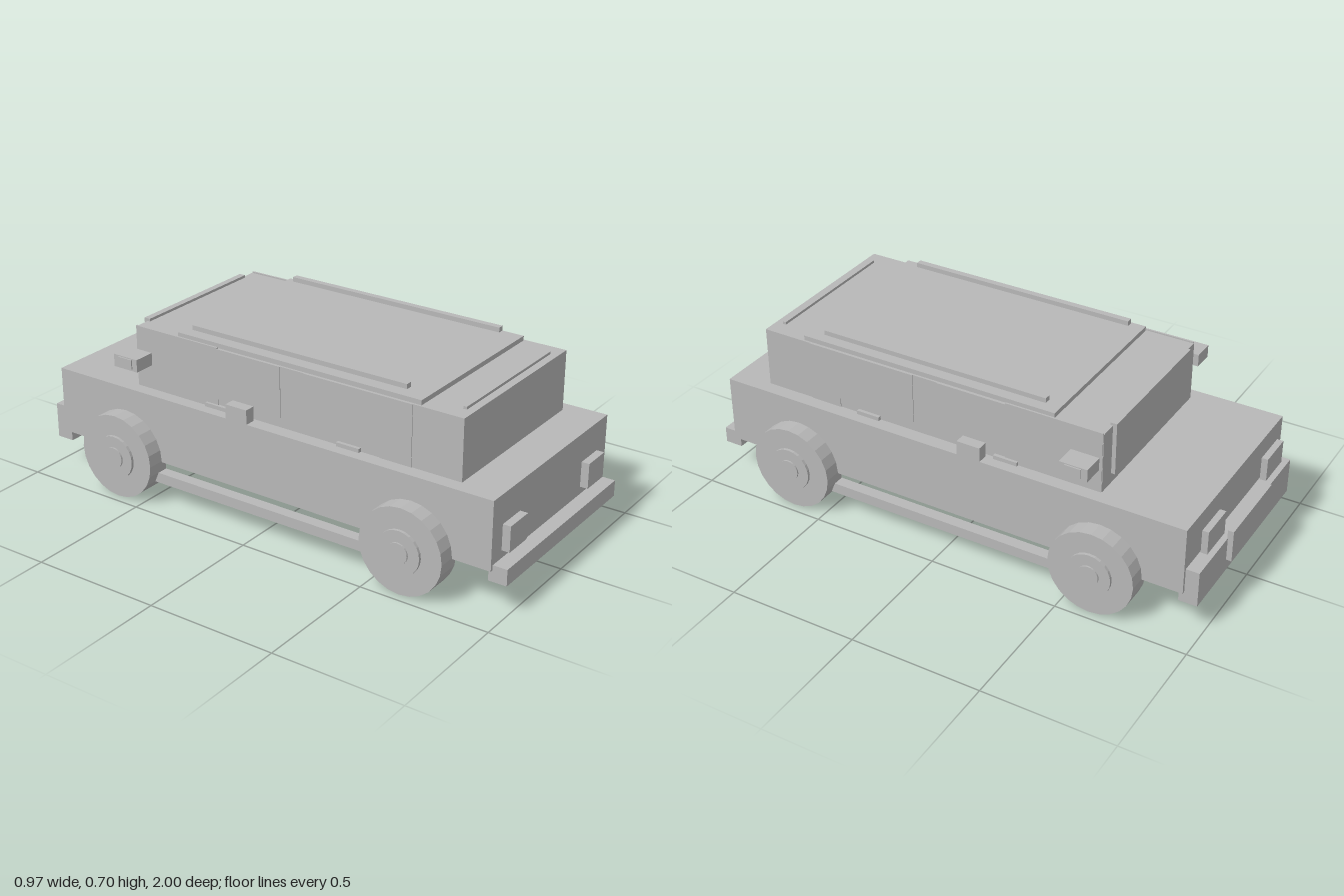
import * as THREE from 'three';

export function createModel() {
  const car = new THREE.Group();
  car.name = 'car';
  const grey = new THREE.MeshStandardMaterial({ color: 0xb8b8b8, flatShading: true });
  grey.name = 'plain grey';

  // Box given by its extents on each axis
  function box(name, [x0, x1], [y0, y1], [z0, z1]) {
    const mesh = new THREE.Mesh(new THREE.BoxGeometry(x1 - x0, y1 - y0, z1 - z0), grey);
    mesh.position.set((x0 + x1) / 2, (y0 + y1) / 2, (z0 + z1) / 2);
    mesh.name = name;
    car.add(mesh);
  }

  // The same box on both sides of the car
  function pair(name, [x0, x1], y, z) {
    box(name + 'Left', [x0, x1], y, z);
    box(name + 'Right', [-x1, -x0], y, z);
  }

  // Body and cabin
  box('lowerBody', [-0.402, 0.402], [0.16, 0.42], [-0.93, 0.945]);
  box('cabin', [-0.349, 0.349], [0.42, 0.65], [-0.59, 0.795]);
  box('roofPanel', [-0.341, 0.341], [0.645, 0.668], [-0.4, 0.628]);
  box('windscreen', [-0.285, 0.285], [0.46, 0.66], [0.752, 0.766]);
  box('rearWindow', [-0.285, 0.285], [0.46, 0.66], [-0.605, -0.58]);

  // Bumpers and rear plate
  box('frontBumper', [-0.39, 0.39], [0.118, 0.18], [0.93, 1]);
  box('rearBumper', [-0.39, 0.39], [0.118, 0.18], [-0.98, -0.91]);
  box('rearBumperTop', [-0.39, 0.39], [0.18, 0.256], [-0.98, -0.925]);
  box('rearPlate', [-0.163, 0.163], [0.165, 0.288], [-1, -0.978]);

  // Lights
  pair('headlight', [0.22, 0.335], [0.21, 0.307], [0.93, 0.975]);
  pair('tailLight', [0.178, 0.318], [0.285, 0.375], [-0.972, -0.948]);

  // Side windows with quarter panels that run down to the body
  pair('frontSideWindow', [0.345, 0.352], [0.456, 0.65], [0.16, 0.475]);
  pair('frontQuarterPanel', [0.345, 0.352], [0.42, 0.65], [0.475, 0.6]);
  pair('rearSideWindow', [0.345, 0.352], [0.456, 0.65], [-0.215, 0.06]);
  pair('rearQuarterPanel', [0.345, 0.352], [0.42, 0.655], [-0.588, -0.215]);

  // Handles, side boxes, mirrors, rails and sills
  for (const z of [0.35, -0.22]) pair('doorHandle', [0.345, 0.362], [0.418, 0.435], [z - 0.047, z + 0.047]);
  pair('sideBox', [0.36, 0.402], [0.42, 0.475], [-0.142, -0.05]);
  pair('mirror', [0.387, 0.47], [0.534, 0.582], [-0.595, -0.488]);
  pair('mirrorPlate', [0.468, 0.475], [0.542, 0.578], [-0.572, -0.51]);
  pair('roofRail', [0.292, 0.316], [0.68, 0.698], [-0.352, 0.555]);
  pair('sideSill', [0.372, 0.416], [0.08, 0.12], [-0.5, 0.5]);

  // Wheels: tyre, hub and cap on the same axle line
  function wheel(name, side, z) {
    const group = new THREE.Group();
    group.name = name;
    const discs = [
      ['tyre', 0.164, 0.375, 0.467],
      ['hub', 0.084, 0.372, 0.478],
      ['cap', 0.04, 0.37, 0.484],
    ];
    for (const [part, radius, x0, x1] of discs) {
      const mesh = new THREE.Mesh(new THREE.CylinderGeometry(radius, radius, x1 - x0, 24), grey);
      mesh.rotation.z = Math.PI / 2;
      mesh.position.x = (side * (x0 + x1)) / 2;
      mesh.name = part;
      group.add(mesh);
    }
    group.position.set(0, 0.164, z);
    car.add(group);
  }
  for (const [label, side] of [['Left', 1], ['Right', -1]]) {
    wheel('frontWheel' + label, side, 0.634);
    wheel('rearWheel' + label, side, -0.614);
  }

  return car;
}
